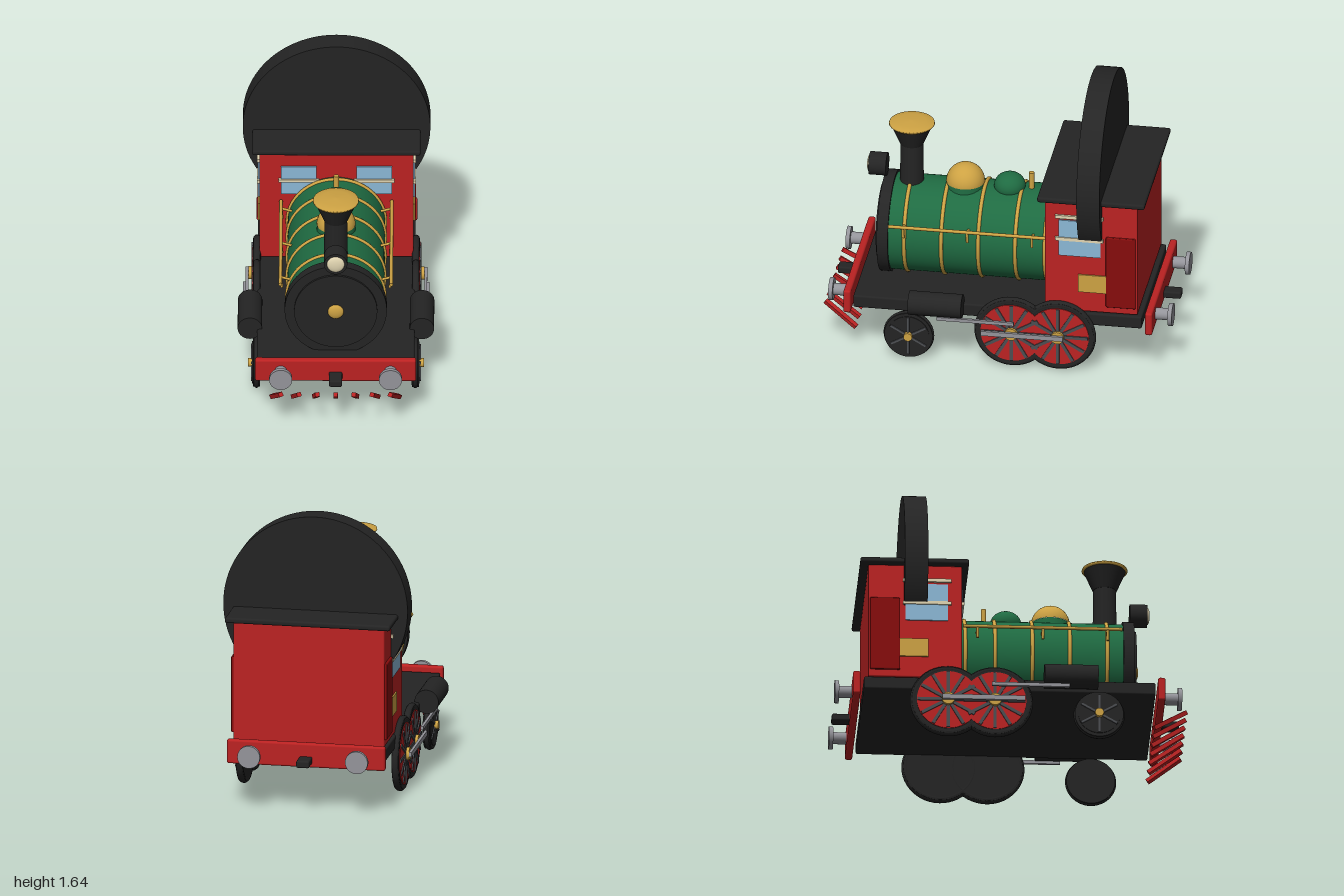
import * as THREE from 'three';
import { RoundedBoxGeometry } from 'three/addons/geometries/RoundedBoxGeometry.js';

const mat = (name, color) => {
  const m = new THREE.MeshStandardMaterial({ color });
  m.name = name;
  return m;
};

export function createModel() {
  const black = mat('black iron', 0x242424);
  const red = mat('red paint', 0xbb2222);
  const darkRed = mat('dark red paint', 0x860c0c);
  const green = mat('green paint', 0x1f6b42);
  const gold = mat('brass', 0xcda243);
  const blue = mat('window glass', 0x8bb8d6);
  const cream = mat('cream', 0xe2d6b2);
  const steel = mat('steel', 0x94949a);
  const spokeGrey = mat('dark steel', 0x4c4e52);

  const model = new THREE.Group();
  model.name = 'steamLocomotive';

  const add = (name, geo, material, x, y, z, parent = model) => {
    const m = new THREE.Mesh(geo, material);
    m.name = name;
    m.position.set(x, y, z);
    parent.add(m);
    return m;
  };
  const box = (name, material, w, h, d, x, y, z, parent) =>
    add(name, new THREE.BoxGeometry(w, h, d), material, x, y, z, parent);
  const rbox = (name, material, w, h, d, x, y, z, r = 0.01) =>
    add(name, new RoundedBoxGeometry(w, h, d, 2, r), material, x, y, z);
  const cylY = (name, material, rTop, rBottom, h, x, y, z) =>
    add(name, new THREE.CylinderGeometry(rTop, rBottom, h, 40), material, x, y, z);
  const cylZ = (name, material, r, len, x, y, z, seg = 40) =>
    add(name, new THREE.CylinderGeometry(r, r, len, seg).rotateX(Math.PI / 2), material, x, y, z);
  // Straight bar between two points
  const bar = (name, geo, material, a, b) => {
    const from = new THREE.Vector3(...a), to = new THREE.Vector3(...b);
    const m = add(name, geo(from.distanceTo(to)), material, 0, 0, 0);
    m.position.lerpVectors(from, to, 0.5);
    m.quaternion.setFromUnitVectors(new THREE.Vector3(0, 1, 0), to.sub(from).normalize());
    return m;
  };

  // Footplate and buffer beams
  rbox('footplate', black, 0.89, 0.075, 1.65, 0, 0.332, -0.015);
  for (const [end, z, dir] of [['front', 0.845, 1], ['rear', -0.88, -1]]) {
    rbox(end + 'BufferBeam', red, 0.91, 0.14, 0.042, 0, 0.33, z, 0.012);
    rbox(end + 'Coupling', black, 0.075, 0.042, 0.11, 0, 0.303, z + dir * 0.065, 0.01);
    for (const x of [-0.31, 0.31]) {
      cylZ(end + 'BufferShaft', steel, 0.034, 0.09, x, 0.33, z + dir * 0.06, 24);
      cylZ(end + 'BufferHead', steel, 0.065, 0.024, x, 0.33, z + dir * 0.108);
    }
  }

  // Cowcatcher slats
  for (let i = -3; i <= 3; i++) {
    bar('cowcatcherSlat', (l) => new THREE.BoxGeometry(0.025, l, 0.025), red,
      [i * 0.103, 0.25, 0.99], [i * 0.12, 0.125, 0.805]);
  }

  // Boiler, smokebox and brass bands
  const by = 0.632;
  cylZ('boiler', green, 0.275, 0.94, 0, by, 0.18, 64);
  cylZ('smokebox', black, 0.289, 0.063, 0, by, 0.67, 64);
  cylZ('smokeboxDoor', black, 0.235, 0.02, 0, by, 0.705, 64);
  add('doorKnob', new THREE.SphereGeometry(0.045, 24, 16).scale(1, 1, 0.4), gold, 0, by, 0.717);
  for (const z of [0.547, 0.335, 0.123, -0.088, -0.257]) {
    add('boilerBand', new THREE.TorusGeometry(0.276, 0.011, 10, 64), gold, 0, by, z);
  }

  // Handrails with brackets
  for (const s of [-1, 1]) {
    cylZ('handrail', gold, 0.01, 0.9, s * 0.313, 0.757, 0.18, 12);
    for (const z of [0.547, 0.18, -0.19]) {
      bar('handrailBracket', (l) => new THREE.CylinderGeometry(0.008, 0.008, l, 10), gold,
        [s * 0.313, 0.757, z], [s * 0.305, 0.69, z]);
      bar('handrailStay', (l) => new THREE.CylinderGeometry(0.008, 0.008, l, 10), gold,
        [s * 0.313, 0.757, z], [s * 0.235, 0.735, z]);
    }
  }

  // Chimney
  cylY('chimney', black, 0.064, 0.068, 0.27, 0, 1.01, 0.545);
  cylY('chimneyFlare', black, 0.12, 0.066, 0.125, 0, 1.198, 0.545);
  const cap = [[0, 1.255], [0.124, 1.255], [0.13, 1.262], [0.128, 1.27], [0.08, 1.279], [0, 1.283]];
  add('chimneyCap', new THREE.LatheGeometry(cap.map((p) => new THREE.Vector2(...p)), 40),
    gold, 0, 0, 0.545);

  // Headlamp
  cylZ('headlamp', black, 0.066, 0.1, 0, 0.988, 0.735);
  add('headlampLens', new THREE.SphereGeometry(0.05, 24, 16).scale(1, 1, 0.3), cream, 0, 0.988, 0.785);

  // Domes and whistle
  cylY('steamDomeBase', green, 0.108, 0.112, 0.09, 0, 0.875, 0.238);
  add('steamDome', new THREE.SphereGeometry(0.11, 32, 12, 0, Math.PI * 2, 0, Math.PI / 2),
    gold, 0, 0.92, 0.238);
  add('sandDome', new THREE.SphereGeometry(0.089, 32, 20).scale(1, 0.85, 1), green, 0, 0.915, -0.015);
  cylY('whistle', gold, 0.015, 0.015, 0.12, 0, 0.945, -0.14);

  // Cab, flat roof and upright roof disc
  rbox('cab', red, 0.87, 0.695, 0.53, 0, 0.723, -0.55, 0.008);
  rbox('cabRoof', black, 0.95, 0.032, 0.615, 0, 1.086, -0.553, 0.012);
  cylZ('roofDisc', black, 0.53, 0.132, 0, 1.12, -0.546, 96);

  for (const s of [-1, 1]) {
    // Front windows
    box('frontWindow', blue, 0.2, 0.18, 0.009, s * 0.213, 0.89, -0.28);
    box('frontWindowBar', cream, 0.23, 0.018, 0.018, s * 0.213, 0.89, -0.275);
    // Side windows, number plate and door
    box('sideWindow', blue, 0.009, 0.225, 0.24, s * 0.438, 0.84, -0.485);
    for (const y of [0.975, 0.835]) {
      box('sideWindowBar', cream, 0.018, 0.02, 0.275, s * 0.44, y, -0.482);
    }
    box('sidePlate', gold, 0.009, 0.11, 0.165, s * 0.439, 0.557, -0.558);
    rbox('cabDoor', darkRed, 0.025, 0.445, 0.17, s * 0.436, 0.64, -0.72, 0.006);
  }

  // Wheels: tyre, face, spokes and hub, built facing +x
  const wheel = (name, s, r, y, z, face, spokes, spokeMat) => {
    const g = new THREE.Group();
    g.name = name;
    const disc = (rad, len) => new THREE.CylinderGeometry(rad, rad, len, 48).rotateZ(Math.PI / 2);
    add('wheelDisc', disc(r * 0.95, 0.04), black, 0, 0, 0, g);
    const rim = r * 0.1;
    add('tyre', new THREE.TorusGeometry(r - rim, rim, 12, 48).rotateY(Math.PI / 2), black, 0, 0, 0, g);
    add('wheelFace', disc(r * 0.82, 0.006), face, 0.021, 0, 0, g);
    for (let i = 0; i < spokes; i++) {
      const a = (i / spokes) * Math.PI * 2;
      const len = r * 0.8;
      const spoke = box('spoke', spokeMat, 0.014, len, r * 0.085, 0.024,
        Math.cos(a) * len / 2, Math.sin(a) * len / 2, g);
      spoke.rotation.x = a;
    }
    add('hub', disc(r * 0.17, 0.04), gold, 0.028, 0, 0, g);
    g.position.set(s * 0.449, y, z);
    if (s < 0) g.rotation.y = Math.PI;
    model.add(g);
  };

  for (const s of [-1, 1]) {
    wheel('drivingWheelFront', s, 0.216, 0.222, -0.1, red, 12, spokeGrey);
    wheel('drivingWheelRear', s, 0.216, 0.222, -0.365, red, 12, spokeGrey);
    wheel('leadingWheel', s, 0.145, 0.155, 0.49, black, 6, spokeGrey);
    // Steam cylinder and rods
    cylZ('steamCylinder', black, 0.069, 0.305, s * 0.486, 0.375, 0.33);
    box('couplingRod', steel, 0.016, 0.028, 0.47, s * 0.505, 0.225, -0.165);
    box('mainRod', steel, 0.016, 0.02, 0.44, s * 0.518, 0.304, 0.1);
  }

  return model;
}
